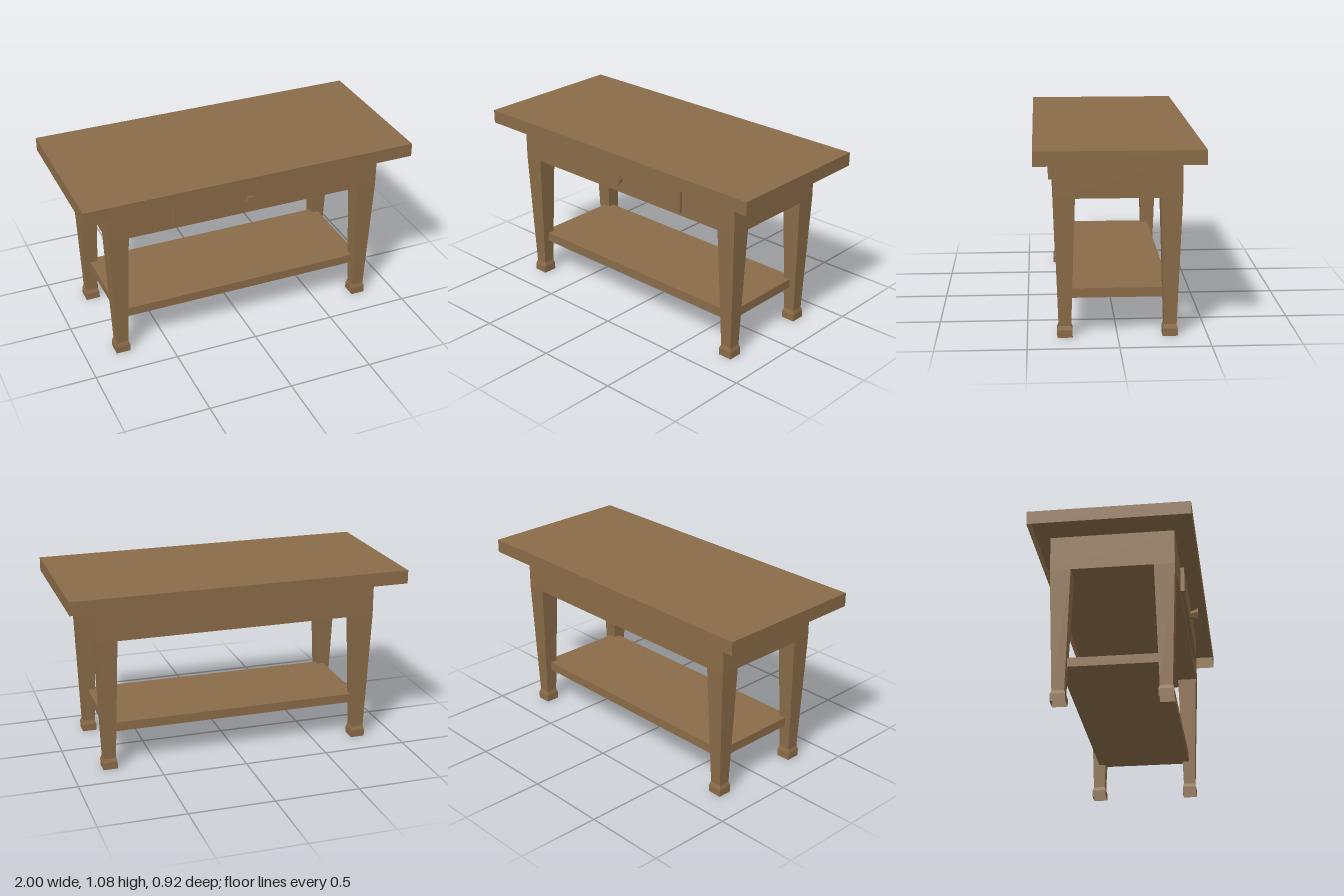
import * as THREE from 'three';
import { mergeGeometries } from 'three/addons/utils/BufferGeometryUtils.js';

const wood = new THREE.MeshStandardMaterial({ color: 0x8b6c48, flatShading: true, side: THREE.DoubleSide });
wood.name = 'wood';

function addMesh(parent, name, geometry, x = 0, y = 0, z = 0) {
  const mesh = new THREE.Mesh(geometry, wood);
  mesh.name = name;
  mesh.position.set(x, y, z);
  parent.add(mesh);
  return mesh;
}

// Box given by its half width, bottom, top, back and front
function addBox(parent, name, halfX, y0, y1, z0, z1) {
  const geometry = new THREE.BoxGeometry(halfX * 2, y1 - y0, z1 - z0);
  return addMesh(parent, name, geometry, 0, (y0 + y1) / 2, (z0 + z1) / 2);
}

// Square leg: block foot, small bevel, then a shaft widening upwards (open ends)
function legGeometry() {
  const rings = [[0, 0.0425], [0.043, 0.0425], [0.066, 0.035], [0.79, 0.059]]; // [y, half width]
  const sections = [];
  for (let i = 0; i < rings.length - 1; i++) {
    const [y0, h0] = rings[i];
    const [y1, h1] = rings[i + 1];
    const section = new THREE.CylinderGeometry(h1 * Math.SQRT2, h0 * Math.SQRT2, y1 - y0, 4, 1, true, Math.PI / 4);
    sections.push(section.translate(0, (y0 + y1) / 2, 0));
  }
  return mergeGeometries(sections);
}

export function createModel() {
  const table = new THREE.Group();
  table.name = 'table';

  // Table top, hollow underneath: the bottom face is left out
  const top = addBox(table, 'tableTop', 1, 1, 1.08, -0.459, 0.459);
  const index = Array.from(top.geometry.index.array);
  index.splice(18, 6);
  top.geometry.setIndex(index);
  top.geometry.clearGroups();

  // Apron and lower shelf
  addBox(table, 'apron', 0.835, 0.79, 1, -0.351, 0.351);
  addBox(table, 'shelf', 0.777, 0.217, 0.271, -0.292, 0.292);

  // Four legs
  const leg = legGeometry();
  for (const [sx, side] of [[1, 'Left'], [-1, 'Right']]) {
    for (const [sz, end] of [[1, 'front'], [-1, 'back']]) {
      addMesh(table, end + side + 'Leg', leg, sx * 0.776, 0, sz * 0.292);
    }
  }

  // Drawer with a flared hexagonal knob
  const drawer = new THREE.Group();
  drawer.name = 'drawer';
  table.add(drawer);
  addBox(drawer, 'drawerFront', 0.457, 0.818, 0.973, 0.351, 0.374);
  const knob = new THREE.CylinderGeometry(0.039, 0.021, 0.048, 6, 1, false, Math.PI / 2).rotateX(Math.PI / 2);
  addMesh(drawer, 'drawerKnob', knob, 0, 0.895, 0.398);

  return table;
}
